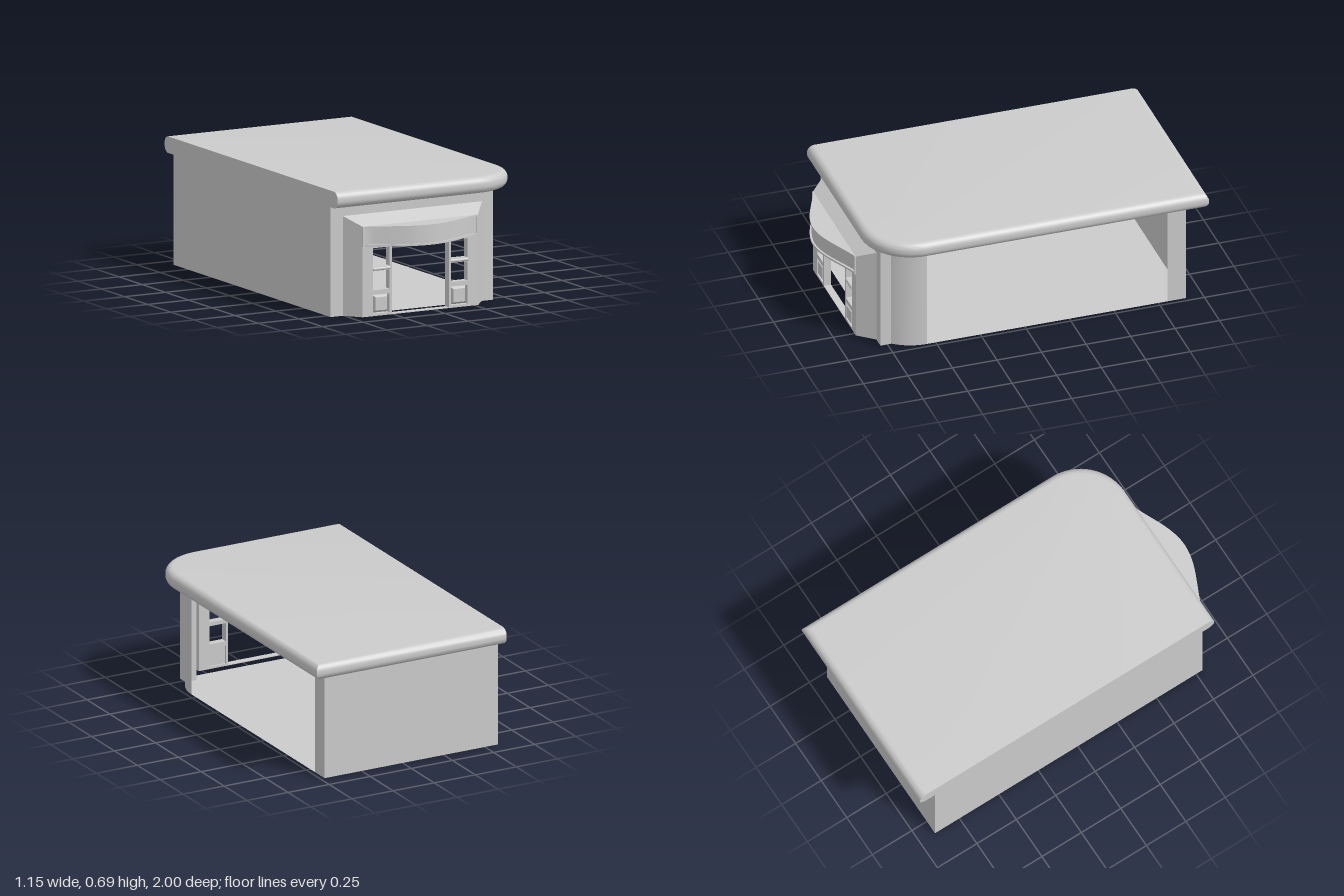
import * as THREE from 'three';
import { toCreasedNormals } from 'three/addons/utils/BufferGeometryUtils.js';

const mat = new THREE.MeshStandardMaterial({ color: 0xcccccc, side: THREE.DoubleSide });

function add(parent, name, geometry) {
  const mesh = new THREE.Mesh(geometry, mat);
  mesh.name = name;
  parent.add(mesh);
  return mesh;
}

// Open sheet joining two lines with the same number of points
function loft(a, b) {
  const index = [];
  for (let i = 0; i < a.length - 1; i++) {
    const j = i + a.length;
    index.push(i, i + 1, j + 1, i, j + 1, j);
  }
  const g = new THREE.BufferGeometry().setFromPoints([...a, ...b].map(p => new THREE.Vector3(...p)));
  g.setIndex(index);
  return toCreasedNormals(g, 0.5);
}

// Upright sheet wall along a plan path of [x, z]
const wall = (path, top) => loft(path.map(([x, z]) => [x, 0, z]), path.map(([x, z]) => [x, top, z]));

const polygon = pts => new THREE.Shape(pts.map(([x, y]) => new THREE.Vector2(x, y)));
const rect = (x0, x1, y0, y1) => polygon([[x0, y0], [x1, y0], [x1, y1], [x0, y1]]);

// Plan arc as [x, z] points
function arc(cx, cz, r, from, to, n) {
  return Array.from({ length: n + 1 }, (_, i) => {
    const t = from + (to - from) * i / n;
    return [cx + r * Math.cos(t), cz + r * Math.sin(t)];
  });
}

// Solid from a plan outline, between two heights
function slab(plan, y0, y1) {
  const g = new THREE.ExtrudeGeometry(polygon(plan.map(([x, z]) => [x, -z])), { depth: y1 - y0, bevelEnabled: false });
  g.rotateX(-Math.PI / 2).translate(0, y0, 0);
  return toCreasedNormals(g, 0.5);
}

export function createModel() {
  const model = new THREE.Group();
  model.name = 'building';
  const wallTop = 0.6, left = -0.58, right = 0.475, back = -0.905, front = 0.79;

  // Roof slab with a bullnose rim, cut flat on its left end
  const rim = 0.04;
  const roofPlan = [[left - 0.1, -1 + rim], [left - 0.1, 0.865 - rim],
    ...arc(0.295, 0.585, 0.28 - rim, Math.PI / 2, 0, 16), [0.575 - rim, -1 + rim]];
  const roofGeo = new THREE.ExtrudeGeometry(polygon(roofPlan.map(([x, z]) => [x, -z])),
    { depth: 0.01, bevelSize: rim, bevelThickness: rim, bevelSegments: 8 });
  roofGeo.rotateX(-Math.PI / 2).translate(0, 0.595 + rim, 0);
  const p = roofGeo.attributes.position;
  for (let i = 0; i < p.count; i++) p.setX(i, Math.max(left, p.getX(i)));
  add(model, 'roof', toCreasedNormals(roofGeo, 0.6));

  // Sheet walls and rounded corner; the right side stays open
  const corner = arc(0.195, 0.55, 0.28, Math.asin(0.18 / 0.28), 0, 12);
  add(model, 'roundedCorner', wall(corner, wallTop));
  add(model, 'outerWalls', wall([[right, -0.8], [right, back], [left, back], [left, front]], wallTop));

  // Floor sheet
  const floorPlan = [[left, back], [left, front], [0.41, front], ...corner, [right, back]];
  const floor = new THREE.ShapeGeometry(polygon(floorPlan.map(([x, z]) => [x, -z])));
  add(model, 'floor', floor.rotateX(-Math.PI / 2));

  // Front wall around the entrance
  const frontShape = polygon([[left, 0], [-0.505, 0], [-0.505, 0.54], [0.345, 0.54], [0.345, 0],
    [0.412, 0], [0.412, wallTop], [left, wallTop]]);
  add(model, 'frontWall', new THREE.ExtrudeGeometry(frontShape, { depth: 0.06, bevelEnabled: false }))
    .position.z = front - 0.06;

  // Entrance: sloping surround leading out to the door screen
  const entrance = new THREE.Group();
  entrance.name = 'entrance';
  model.add(entrance);
  const cx = -0.0825, face = 0.88, half = 0.3525;
  add(entrance, 'slopingSurround', loft(
    [[-0.505, 0, front], [-0.505, 0.54, front], [0.345, 0.54, front], [0.345, 0, front]],
    [[cx - half, 0, face], [cx - half, 0.49, face], [cx + half, 0.49, face], [cx + half, 0, face]]));

  // Door screen with a doorway, and two windows and a panel on each side
  const screen = rect(cx - half, cx + half, 0, 0.49);
  screen.holes.push(rect(-0.257, 0.092, 0.004, 0.38));
  for (const side of [-1, 1]) {
    const mid = cx + side * 0.238;
    for (const [y0, y1] of [[0.265, 0.368], [0.14, 0.243], [0.013, 0.115]])
      screen.holes.push(rect(mid - 0.05, mid + 0.05, y0, y1));

    // Raised panel with sloping edges
    const panel = new THREE.BoxGeometry(0.1, 0.102, 0.03);
    const v = panel.attributes.position;
    for (let i = 0; i < v.count; i++)
      if (v.getZ(i) > 0) v.setXY(i, v.getX(i) * 0.7, v.getY(i) * 0.7);
    panel.computeVertexNormals();
    add(entrance, 'raisedPanel', panel).position.set(mid, 0.064, face - 0.015);

    // Rounded bar between the windows
    const bar = new THREE.CylinderGeometry(0.01, 0.01, 0.104, 12).rotateZ(Math.PI / 2);
    add(entrance, 'windowBar', bar).position.set(mid, 0.254, face - 0.005);
  }
  add(entrance, 'doorScreen', new THREE.ExtrudeGeometry(screen, { depth: 0.04, bevelEnabled: false }))
    .position.z = face - 0.04;

  // Bowed canopy: recessed band between two projecting rims and end posts
  const bow = inset => Array.from({ length: 25 }, (_, i) => {
    const t = i / 12 - 1;
    const rise = 0.55 * (1 - t * t) + 0.45 * (0.5 + 0.5 * Math.cos(Math.PI * t));
    return [cx + t * (half - inset), face + 0.12 * rise - (rise > 0 ? inset : 0)];
  });
  const outer = bow(0);
  add(entrance, 'canopyBand', slab(bow(0.01), 0.385, 0.485));
  add(entrance, 'canopyTopRim', slab(outer, 0.48, 0.49));
  add(entrance, 'canopyBottomRim', slab(outer, 0.38, 0.39));
  for (const side of [-1, 1])
    add(entrance, 'canopyEndPost', new THREE.BoxGeometry(0.012, 0.11, 0.012))
      .position.set(cx + side * (half - 0.006), 0.435, face);

  return model;
}
